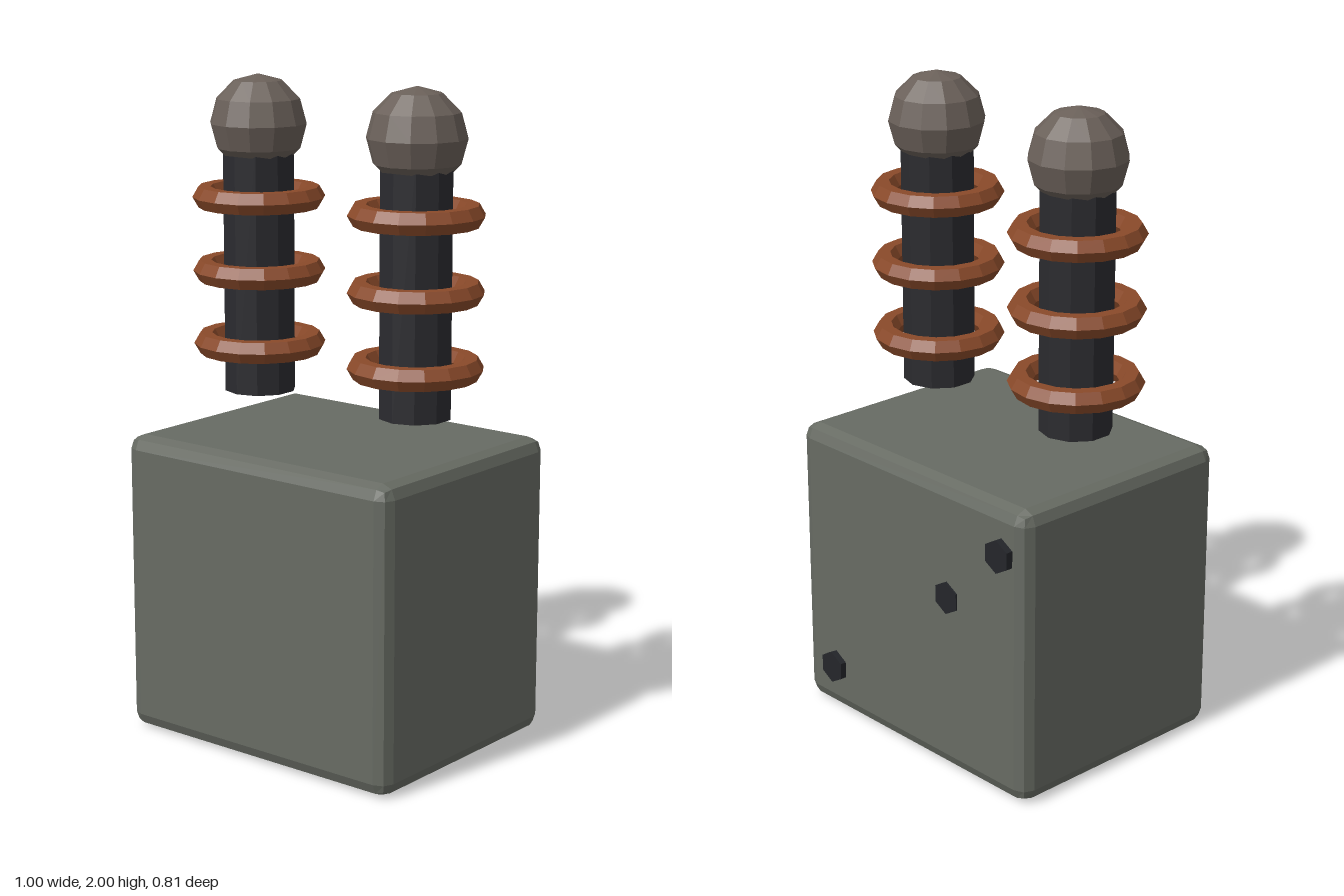
import * as THREE from 'three';
import { RoundedBoxGeometry } from 'three/addons/geometries/RoundedBoxGeometry.js';

const paint = (color) => new THREE.MeshStandardMaterial({ color, flatShading: true });

export function createModel() {
  const model = new THREE.Group();
  const casingPaint = paint(0x676b63);
  const rodPaint = paint(0x2b2b2f);
  const copper = paint(0x8a4a2a);
  const knobPaint = paint(0x6a6059);
  const boltPaint = paint(0x24262a);

  const add = (parent, name, geometry, material, x, y, z) => {
    const mesh = new THREE.Mesh(geometry, material);
    mesh.name = name;
    mesh.position.set(x, y, z);
    parent.add(mesh);
    return mesh;
  };

  // Casing with a two-step bevel
  add(model, 'casing', new RoundedBoxGeometry(1, 0.93, 0.79, 1, 0.043), casingPaint, 0, 0.465, 0.01);

  // Two floating coil towers
  const rod = new THREE.CylinderGeometry(0.11, 0.11, 0.77, 10);
  const knob = new THREE.SphereGeometry(0.148, 12, 6);
  const ring = new THREE.TorusGeometry(0.165, 0.037, 6, 16).rotateX(Math.PI / 2);
  for (const side of [-1, 1]) {
    const tower = new THREE.Group();
    tower.name = side > 0 ? 'leftTower' : 'rightTower';
    tower.position.set(side * 0.3, 0, 0.01);
    add(tower, 'rod', rod, rodPaint, 0, 1.417, 0);
    add(tower, 'knob', knob, knobPaint, 0, 1.852, 0);
    for (const y of [1.18, 1.405, 1.63]) add(tower, 'copperRing', ring, copper, 0, y, 0);
    model.add(tower);
  }

  // Hexagonal bolts on the back, each sunk to its own depth
  const bolt = new THREE.CylinderGeometry(0.052, 0.052, 0.04, 6).rotateX(Math.PI / 2);
  for (const [x, y, backZ] of [[-0.405, 0.783, -0.407], [-0.17, 0.567, -0.39], [0.355, 0.148, -0.405]]) {
    add(model, 'backBolt', bolt, boltPaint, x, y, backZ + 0.02);
  }

  return model;
}
